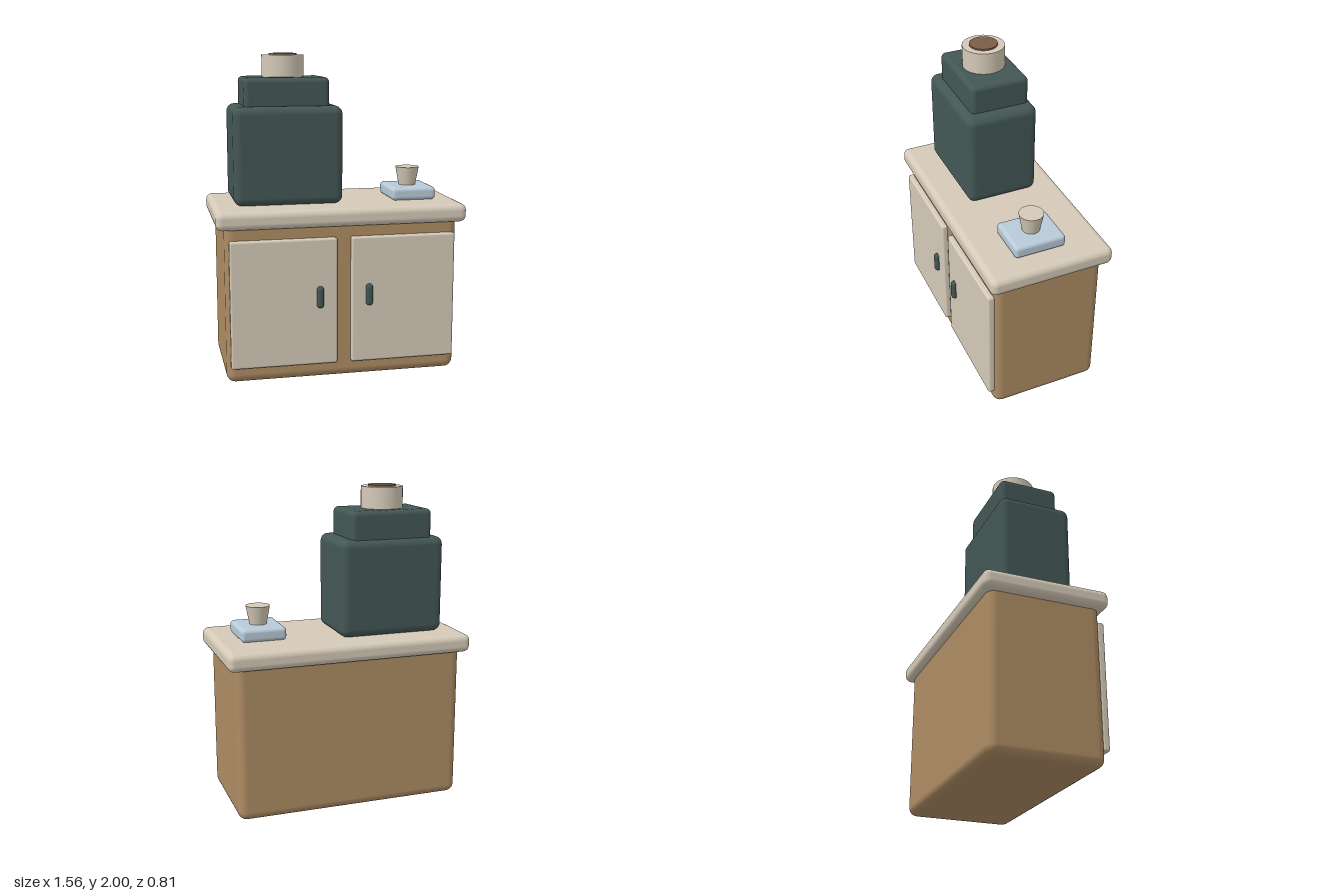
import * as THREE from 'three';
import { RoundedBoxGeometry } from 'three/addons/geometries/RoundedBoxGeometry.js';

const paint = (name, color) => {
  const m = new THREE.MeshStandardMaterial({ color });
  m.name = name;
  return m;
};

export function createModel() {
  const wood = paint('warm wood', 0xae8c63);
  const cream = paint('cream', 0xd5cab8);
  const teal = paint('dark teal', 0x435755);
  const blue = paint('pale blue', 0xb8cbd9);
  const brown = paint('coffee brown', 0x7a5e45);

  const model = new THREE.Group();
  model.name = 'coffeeStation';

  const add = (name, geometry, material, x, y, z) => {
    const mesh = new THREE.Mesh(geometry, material);
    mesh.name = name;
    mesh.position.set(x, y, z);
    model.add(mesh);
    return mesh;
  };
  // Rounded box given by its extents on each axis
  const box = (name, material, [x0, x1], [y0, y1], [z0, z1], radius) =>
    add(name, new RoundedBoxGeometry(x1 - x0, y1 - y0, z1 - z0, 4, radius), material,
      (x0 + x1) / 2, (y0 + y1) / 2, (z0 + z1) / 2);
  // Upright round part from y0 to y1
  const round = (name, material, rTop, rBottom, x, y0, y1, z) =>
    add(name, new THREE.CylinderGeometry(rTop, rBottom, y1 - y0, 32), material, x, (y0 + y1) / 2, z);

  // Cabinet and counter
  box('cabinet', wood, [-0.73, 0.725], [0, 1.01], [-0.36, 0.345], 0.055);
  box('countertop', cream, [-0.783, 0.778], [0.962, 1.075], [-0.405, 0.385], 0.04);

  // Doors with handles, mirrored about the cabinet's middle
  for (const side of [-1, 1]) {
    const label = side < 0 ? 'right' : 'left';
    const span = (a, b) => [side * a - 0.003, side * b - 0.003].sort((p, q) => p - q);
    box(label + 'Door', cream, span(0.044, 0.704), [0.102, 0.897], [0.335, 0.38], 0.014);
    box(label + 'Handle', teal, span(0.133, 0.175), [0.465, 0.6], [0.36, 0.406], 0.018);
  }

  // Grinder body in two steps, with collar and beans on top
  box('grinderBody', teal, [-0.652, 0.027], [1.075, 1.682], [-0.25, 0.21], 0.05);
  box('grinderTop', teal, [-0.577, -0.048], [1.6, 1.855], [-0.22, 0.155], 0.032);
  round('hopperCollar', cream, 0.132, 0.132, -0.312, 1.84, 1.99, -0.033);
  round('hopperBeans', brown, 0.088, 0.088, -0.312, 1.96, 2, -0.033);

  // Tray and cup
  box('tray', blue, [0.352, 0.637], [1.075, 1.156], [-0.153, 0.175], 0.024);
  round('cup', cream, 0.076, 0.053, 0.493, 1.15, 1.272, 0.011);

  return model;
}
